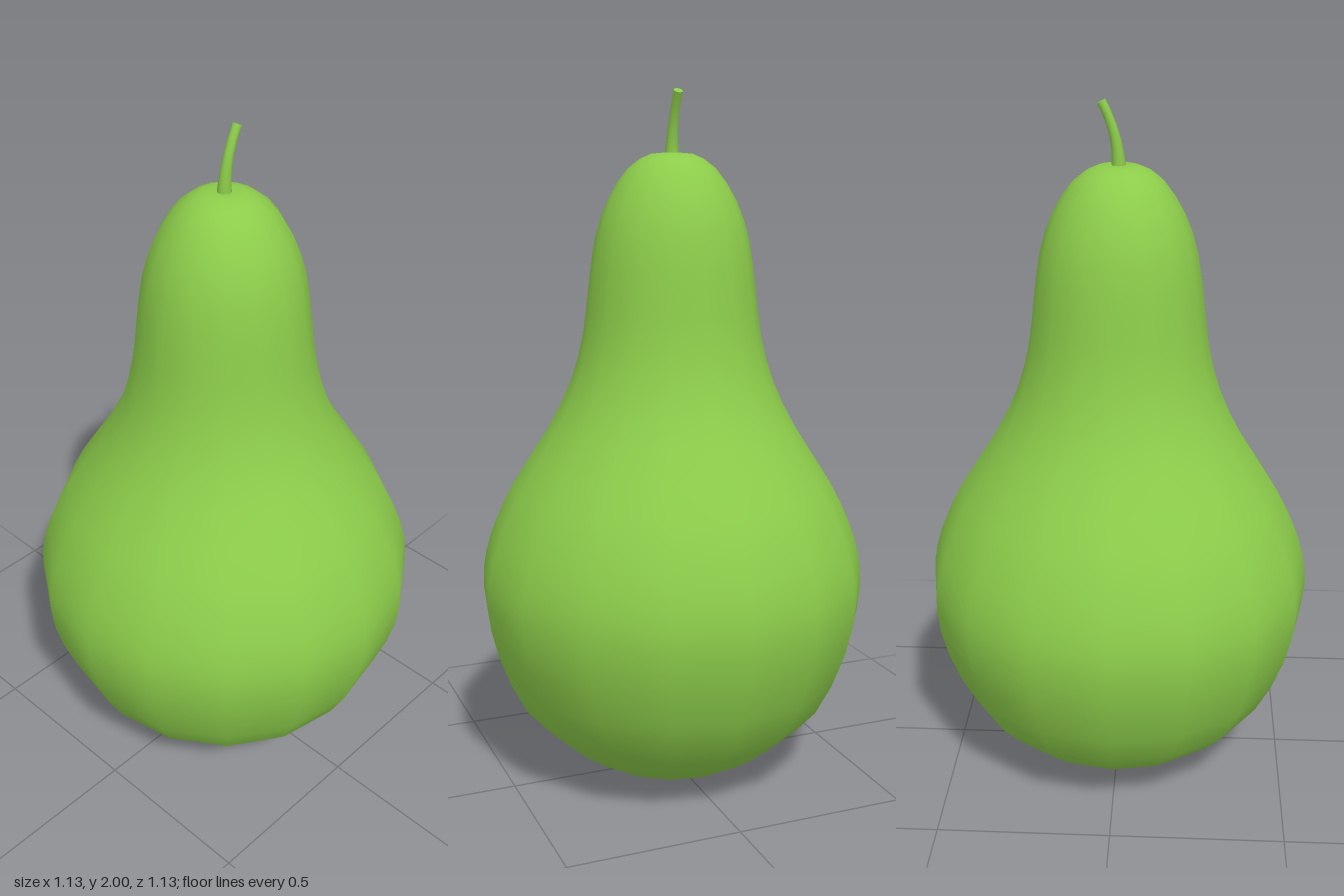
import * as THREE from 'three';

const green = new THREE.MeshStandardMaterial({ color: 0x8ccc4a, side: THREE.DoubleSide });

// Pear body: 16-sided smooth lathe from a curved profile
function createBody() {
  const profile = [
    [0, 0], [0.11, 0.004], [0.22, 0.035], [0.33, 0.105], [0.455, 0.225], [0.537, 0.41],
    [0.565, 0.56], [0.553, 0.67], [0.52, 0.768], [0.465, 0.88], [0.36, 1.045],
    [0.294, 1.18], [0.257, 1.315], [0.24, 1.447], [0.22, 1.585], [0.183, 1.695],
    [0.124, 1.785], [0.058, 1.825], [0, 1.825],
  ].map(([r, y]) => new THREE.Vector2(r, y));
  const points = new THREE.SplineCurve(profile).getPoints(36);
  points.forEach(p => { p.x = Math.max(p.x, 0); p.y = Math.max(p.y, 0); });
  points[0].x = points[points.length - 1].x = 0;
  const body = new THREE.Mesh(new THREE.LatheGeometry(points, 16), green);
  body.name = 'pearBody';
  return body;
}

// Stem: bent tube, flared at the base and slightly thicker at the tip
function createStem() {
  const path = new THREE.QuadraticBezierCurve3(
    new THREE.Vector3(0, 1.815, 0), new THREE.Vector3(0, 1.91, 0), new THREE.Vector3(0.047, 1.995, 0));
  const rings = 12, sides = 12;
  const geometry = new THREE.TubeGeometry(path, rings, 1, sides);
  const pos = geometry.attributes.position;
  const v = new THREE.Vector3();
  for (let i = 0; i <= rings; i++) {
    const t = i / rings;
    const radius = 0.011 + 0.01 * (1 - t) ** 2 + 0.002 * t * t;
    const centre = path.getPointAt(t);
    for (let j = 0; j <= sides; j++) {
      const k = i * (sides + 1) + j;
      v.fromBufferAttribute(pos, k).sub(centre).multiplyScalar(radius).add(centre);
      pos.setXYZ(k, v.x, v.y, v.z);
    }
  }
  geometry.computeBoundingSphere();
  const stem = new THREE.Mesh(geometry, green);
  stem.name = 'stem';

  // Flat cut end
  const tip = new THREE.Mesh(new THREE.CircleGeometry(0.013, sides), green);
  tip.name = 'stemTip';
  tip.position.copy(path.getPointAt(1));
  tip.quaternion.setFromUnitVectors(new THREE.Vector3(0, 0, 1), path.getTangentAt(1));

  const group = new THREE.Group();
  group.name = 'stemGroup';
  group.add(stem, tip);
  return group;
}

export function createModel() {
  const pear = new THREE.Group();
  pear.name = 'pear';
  pear.add(createBody(), createStem());
  return pear;
}
